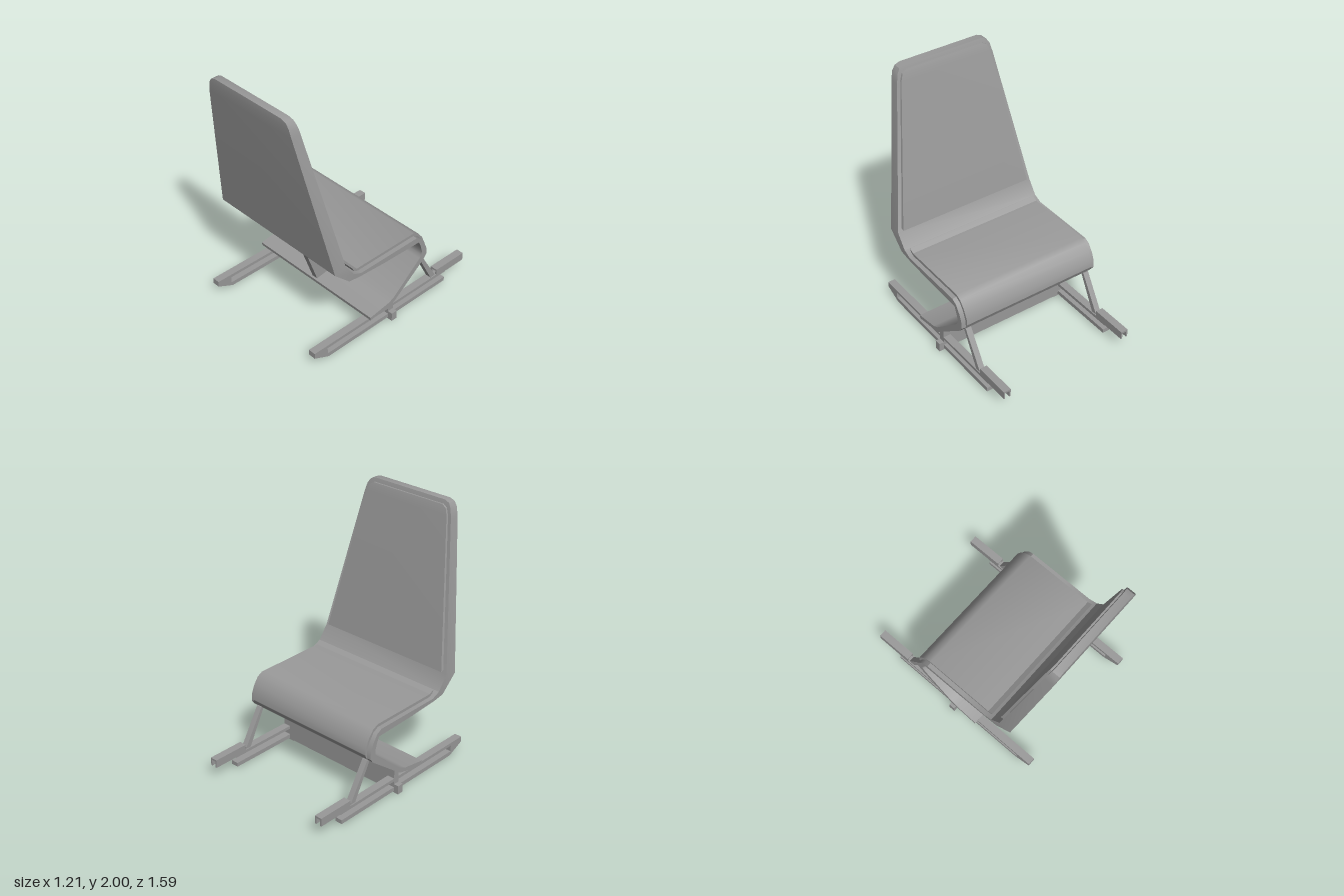
import * as THREE from 'three';
import { toCreasedNormals } from 'three/addons/utils/BufferGeometryUtils.js';

const material = new THREE.MeshStandardMaterial({ color: 0x999999 });

function add(parent, name, geometry) {
  const mesh = new THREE.Mesh(geometry, material);
  mesh.name = name;
  parent.add(mesh);
}

// Box-section strip swept through rows of [halfWidth, zUnder, yUnder, zTop, yTop]
function ribbon(rows) {
  const pos = [], index = [];
  rows.forEach(([w, za, ya, zb, yb], i) => {
    pos.push(-w, ya, za, w, ya, za, w, yb, zb, -w, yb, zb);
    if (i === rows.length - 1) return;
    for (let j = 0; j < 4; j++) {
      const a = i * 4 + j, b = i * 4 + (j + 1) % 4;
      index.push(a, a + 4, b + 4, a, b + 4, b);
    }
  });
  const e = (rows.length - 1) * 4;
  index.push(0, 1, 2, 0, 2, 3, e, e + 2, e + 1, e, e + 3, e + 2);
  const g = new THREE.BufferGeometry();
  g.setAttribute('position', new THREE.Float32BufferAttribute(pos, 3));
  g.setIndex(index);
  return toCreasedNormals(g, 0.5);
}

// Side outline of [z, y] points, extruded across x and centred on the given x
function plate(points, width, x) {
  const shape = new THREE.Shape(points.map(([z, y]) => new THREE.Vector2(z, y)));
  const g = new THREE.ExtrudeGeometry(shape, { depth: width, bevelEnabled: false });
  return g.translate(0, 0, -width / 2).rotateY(-Math.PI / 2).translate(x, 0, 0);
}

function box(x0, x1, y0, y1, z0, z1) {
  return new THREE.BoxGeometry(x1 - x0, y1 - y0, z1 - z0)
    .translate((x0 + x1) / 2, (y0 + y1) / 2, (z0 + z1) / 2);
}

export function createModel() {
  const chair = new THREE.Group();
  chair.name = 'chair';

  // One continuous shell: tapered back, seat, front roll and lower tray
  add(chair, 'seatShell', ribbon([
    [0.33, 0.795, 2.0, 0.737, 2.0],
    [0.37, 0.795, 1.985, 0.732, 1.985],
    [0.393, 0.793, 1.95, 0.722, 1.95],
    [0.41, 0.785, 1.88, 0.708, 1.88],
    [0.6, 0.59, 0.762, 0.49, 0.785],
    [0.6, 0.455, 0.635, 0.41, 0.675],
    [0.6, 0.36, 0.62, 0.34, 0.645],
    [0.6, 0.1, 0.603, 0.1, 0.645],
    [0.6, -0.245, 0.593, -0.22, 0.645],
    [0.6, -0.255, 0.575, -0.265, 0.62],
    [0.6, -0.27, 0.535, -0.305, 0.56],
    [0.6, -0.283, 0.49, -0.33, 0.495],
    [0.6, -0.278, 0.46, -0.332, 0.44],
    [0.6, -0.26, 0.435, -0.305, 0.405],
    [0.6, 0.0, 0.215, -0.01, 0.177],
    [0.6, 0.05, 0.193, 0.04, 0.164],
    [0.6, 0.24, 0.163, 0.235, 0.135],
  ]));

  // Raised cushions
  add(chair, 'backCushion', ribbon([
    [0.325, 0.75, 1.97, 0.715, 1.97],
    [0.36, 0.745, 1.95, 0.708, 1.95],
    [0.38, 0.735, 1.9, 0.695, 1.9],
    [0.565, 0.505, 0.815, 0.472, 0.8],
  ]));
  add(chair, 'seatCushion', ribbon([
    [0.565, 0.375, 0.655, 0.39, 0.69],
    [0.565, 0.335, 0.63, 0.35, 0.668],
    [0.565, -0.21, 0.63, -0.22, 0.668],
    [0.565, -0.25, 0.605, -0.268, 0.645],
    [0.565, -0.29, 0.55, -0.312, 0.59],
    [0.565, -0.31, 0.5, -0.345, 0.52],
    [0.565, -0.32, 0.46, -0.35, 0.47],
    [0.565, -0.3, 0.425, -0.33, 0.428],
  ]));

  // Central web between the seat and the tray
  add(chair, 'centreWeb', plate([
    [0.39, 0.632], [0.22, 0.16], [0.03, 0.19], [-0.265, 0.43],
    [-0.265, 0.54], [-0.25, 0.6], [0.1, 0.612],
  ], 0.05, -0.01));

  // Cross panel holding the tray on the rails
  add(chair, 'crossPanel', box(-0.565, 0.565, 0.005, 0.19, -0.03, 0.02));

  for (const [side, s] of [['left', 1], ['right', -1]]) {
    const runner = new THREE.Group();
    runner.name = side + 'Runner';
    chair.add(runner);
    const x = s * 0.535;

    // Runner with an open slot and an upswept nose
    add(runner, 'floorRail', plate([
      [0.755, 0.12], [0.755, 0.075], [0.62, 0.012], [-0.59, 0.012], [-0.59, 0.045],
      [0.63, 0.045], [0.63, 0.095], [-0.6, 0.095], [-0.6, 0.12],
    ], 0.06, x));
    add(runner, 'railClamp', box(x - 0.07, x + 0.07, 0, 0.07, -0.03, 0.02));

    // Rear slide: channel open underneath
    add(runner, 'slideTop', box(x - 0.03, x + 0.03, 0.15, 0.165, -0.795, -0.5));
    for (const d of [-0.024, 0.024])
      add(runner, 'slideWall', box(x + d - 0.006, x + d + 0.006, 0.1, 0.152, -0.795, -0.5));

    // Sloping strut from the rail to the front roll
    add(runner, 'strut', plate([
      [-0.29, 0.41], [-0.32, 0.41], [-0.485, 0.13], [-0.485, 0.115], [-0.445, 0.115],
    ], 0.045, x));
  }
  return chair;
}
